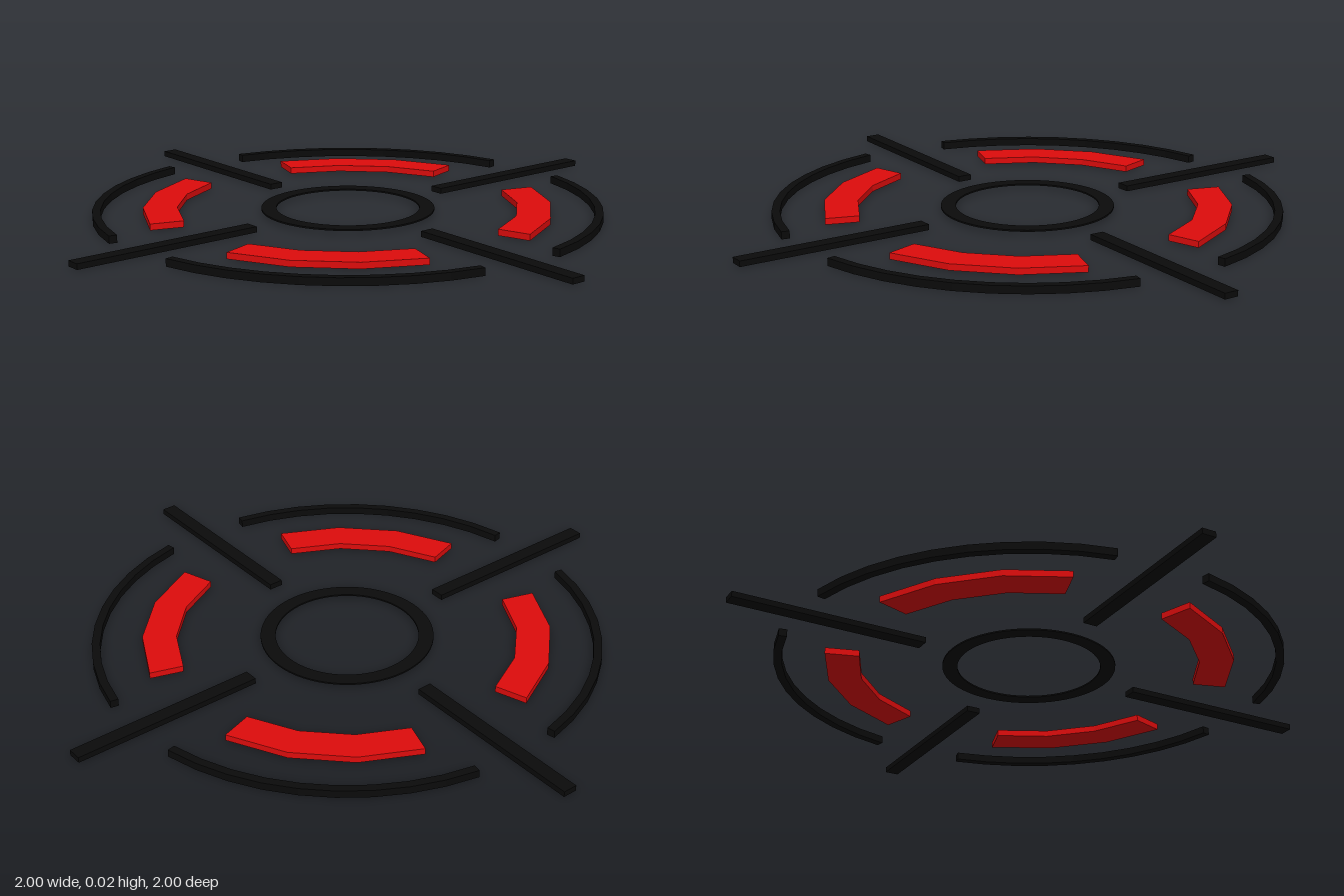
import * as THREE from 'three';

const black = new THREE.MeshStandardMaterial({ color: 0x0a0a0a, flatShading: true });
const red = new THREE.MeshStandardMaterial({ color: 0xdd0c0c, flatShading: true });
const rad = THREE.MathUtils.degToRad;

// Flat curved plate between two radii, lying on y0 (angles in degrees, +x towards -z)
function arcPlate(inner, outer, from, to, segments, y0, height) {
  const points = [];
  const add = (r, i) => {
    const a = rad(from + (to - from) * i / segments);
    points.push(new THREE.Vector2(r * Math.cos(a), r * Math.sin(a)));
  };
  for (let i = 0; i <= segments; i++) add(outer, i);
  for (let i = segments; i >= 0; i--) add(inner, i);
  const geo = new THREE.ExtrudeGeometry(new THREE.Shape(points), { depth: height, bevelEnabled: false });
  return geo.rotateX(-Math.PI / 2).translate(0, y0, 0);
}

export function createModel() {
  const group = new THREE.Group();
  const add = (name, geometry, material) => {
    const mesh = new THREE.Mesh(geometry, material);
    mesh.name = name;
    group.add(mesh);
    return mesh;
  };

  // Thin centre ring
  const ring = new THREE.Shape().absarc(0, 0, 0.272, 0, Math.PI * 2, false);
  ring.holes.push(new THREE.Path().absarc(0, 0, 0.225, 0, Math.PI * 2, true));
  const ringGeo = new THREE.ExtrudeGeometry(ring, { depth: 0.005, bevelEnabled: false, curveSegments: 32 });
  add('centreRing', ringGeo.rotateX(-Math.PI / 2).translate(0, 0.011, 0), black);

  for (let i = 0; i < 4; i++) {
    // Straight cross bars
    const bar = new THREE.BoxGeometry(0.627, 0.018, 0.046).translate(0.6865, 0.011, 0);
    add('crossBar', bar, black).rotation.y = i * Math.PI / 2;

    // Coarse red inner segments
    const segment = arcPlate(0.535, 0.642, 18, 72, 3, 0.002, 0.02);
    add('innerSegment', segment, red).rotation.y = i * Math.PI / 2;

    // Slim outer arcs; the gaps at the sides sit slightly towards the back
    const shift = [[11.3, 79.4], [100.6, 168.7], [190.6, 259.4], [280.6, 349.4]][i];
    add('outerArc', arcPlate(0.772, 0.798, shift[0], shift[1], 9, 0, 0.024), black);
  }
  return group;
}
